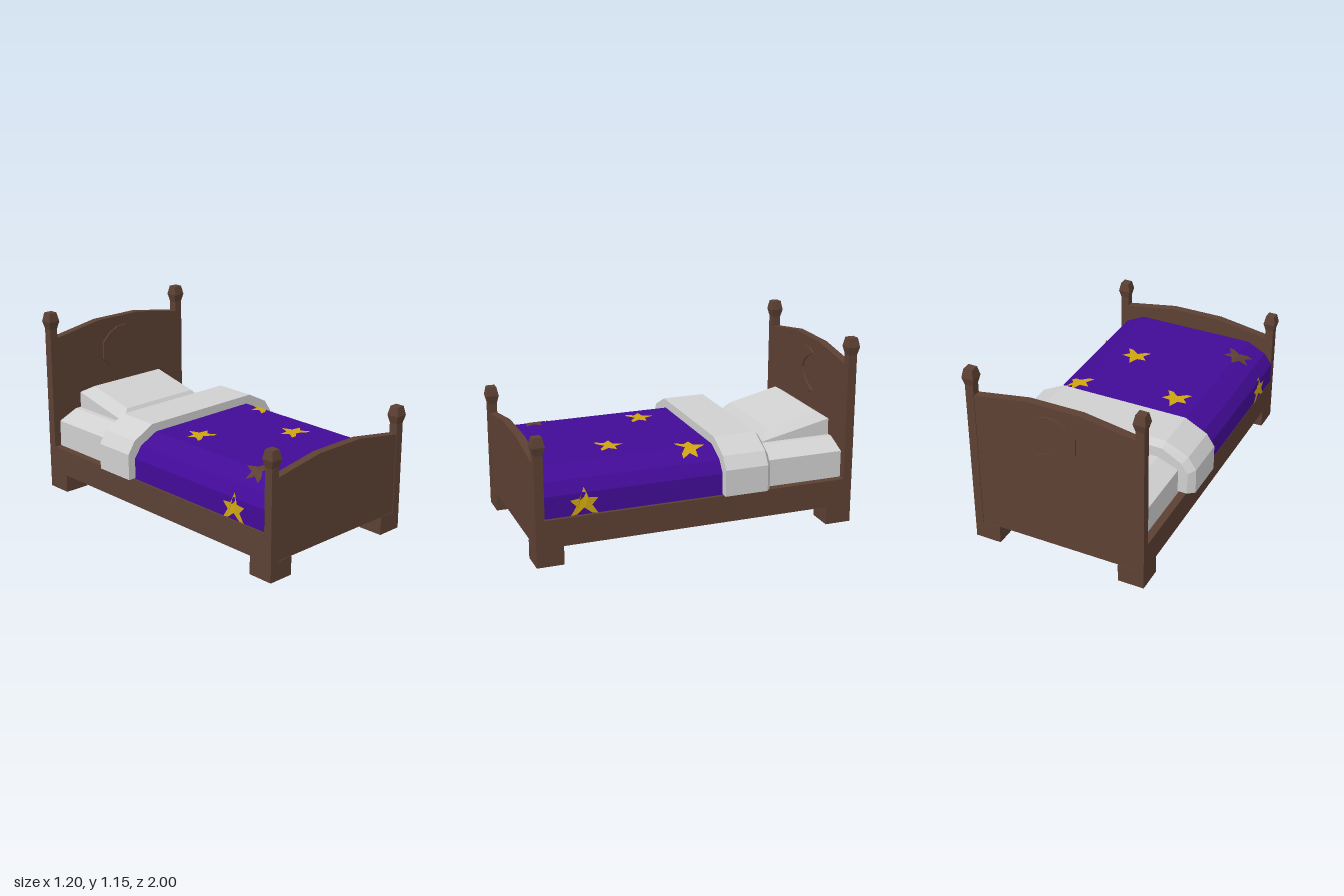
import * as THREE from 'three';

const material = (name, color, extra = {}) => {
  const m = new THREE.MeshStandardMaterial({ color, ...extra });
  m.name = name;
  return m;
};

// Flat-sided solid through rings of equal point count (counter-clockwise seen from the last ring)
function loft(rings) {
  const pos = [];
  const tri = (a, b, c) => pos.push(...a, ...b, ...c);
  const n = rings[0].length;
  for (let r = 0; r < rings.length - 1; r++) {
    for (let i = 0; i < n; i++) {
      const j = (i + 1) % n, a = rings[r], b = rings[r + 1];
      tri(a[i], a[j], b[j]);
      tri(a[i], b[j], b[i]);
    }
  }
  const first = rings[0], last = rings[rings.length - 1];
  for (let i = 1; i < n - 1; i++) {
    tri(first[0], first[i + 1], first[i]);
    tri(last[0], last[i], last[i + 1]);
  }
  const g = new THREE.BufferGeometry();
  g.setAttribute('position', new THREE.Float32BufferAttribute(pos, 3));
  g.computeVertexNormals();
  return g;
}

// Rectangle ring with a height rule along z
const rect = (hx, z0, z1, y0, y1 = y0) =>
  [[hx, y1, z1], [hx, y0, z0], [-hx, y0, z0], [-hx, y1, z1]];

// Arched bedding ring at depth z, mirrored from its right half
const arch = (half, z) => [
  ...half.map(([x, y]) => [x, y, z]),
  ...half.slice().reverse().map(([x, y]) => [-x, y, z]),
];

export function createModel() {
  const group = new THREE.Group();
  const wood = material('brown wood', 0x5c4033);
  const linen = material('white linen', 0xd0d0d0);
  const purple = material('purple blanket', 0x420b96);
  const gold = material('gold star', 0xcfa50f, { side: THREE.DoubleSide });
  const brownStar = material('brown star', 0x5c4033, { side: THREE.DoubleSide });

  const add = (name, geometry, mat) => {
    const mesh = new THREE.Mesh(geometry, mat);
    mesh.name = name;
    group.add(mesh);
    return mesh;
  };
  const box = (name, x0, x1, y0, y1, z0, z1, mat = wood) =>
    add(name, new THREE.BoxGeometry(x1 - x0, y1 - y0, z1 - z0), mat)
      .position.set((x0 + x1) / 2, (y0 + y1) / 2, (z0 + z1) / 2);
  const plate = (name, points, z0, depth) => {
    const shape = new THREE.Shape(points.map(([x, y]) => new THREE.Vector2(x, y)));
    const g = new THREE.ExtrudeGeometry(shape, { depth, bevelEnabled: false });
    add(name, g.translate(0, 0, z0), wood);
  };

  // Head and foot ends: arched board, posts with finials, legs
  for (const [end, s, top] of [['head', -1, 1.045], ['foot', 1, 0.66]]) {
    const sh = top - 0.055;
    plate(end + 'board', [[-0.5, 0.113], [0.5, 0.113], [0.5, sh], [0.165, top],
      [-0.165, top], [-0.5, sh]], s * 0.96 - 0.025, 0.05);
    for (const side of [-1, 1]) {
      const x = side * 0.521, z = s * 0.962;
      box(end + 'Post', x - 0.026, x + 0.026, 0.113, top + 0.02, z - 0.027, z + 0.027);
      const rings = [[0.005, 0.026], [0.055, 0.038], [0.11, 0.027]].map(([dy, h]) =>
        rect(h, -h, h, top + dy));
      add(end + 'Finial', loft(rings), wood).position.set(x, 0, z);
      const lx = side * 0.466, lz = s * 0.908;
      box(end + 'Leg', lx - 0.081, lx + 0.081, 0, 0.113, lz - 0.081, lz + 0.081);
    }
  }

  // Side rails and base
  for (const side of [-1, 1]) {
    const x = side * 0.521;
    box('sideRail', x - 0.026, x + 0.026, 0.113, 0.28, -0.94, 0.94);
  }
  box('bedBase', -0.5, 0.5, 0.113, 0.27, -0.94, 0.94);

  // Crescent moon standing proud of both faces of the headboard
  plate('crescentMoon', [
    [0.11, 0.957], [0.05, 0.985], [-0.02, 0.98], [-0.085, 0.945], [-0.137, 0.893],
    [-0.137, 0.782], [-0.085, 0.728], [-0.02, 0.694], [0.05, 0.69], [0.11, 0.716],
    [0.04, 0.75], [-0.01, 0.79], [-0.027, 0.837], [-0.01, 0.885], [0.04, 0.925],
  ], -0.996, 0.072);

  // Mattress, blanket and folded sheet
  const mattress = [[0.5, 0.27], [0.5, 0.445], [0.37, 0.5]];
  const blanket = [[0.55, 0.29], [0.55, 0.42], [0.5, 0.49], [0.38, 0.55]];
  const sheet = [[0.6, 0.295], [0.6, 0.455], [0.55, 0.53], [0.41, 0.603]];
  const sheetEdge = [[0.56, 0.295], [0.56, 0.435], [0.52, 0.495], [0.395, 0.565]];
  add('mattress', loft([arch(mattress, -0.935), arch(mattress, 0.935)]), linen);
  add('blanket', loft([arch(blanket, -0.2), arch(blanket, 0.935)]), purple);
  add('foldedSheet', loft([arch(sheetEdge, -0.437), arch(sheet, -0.405),
    arch(sheet, -0.138)]), linen);

  // Pillow leaning up towards the headboard
  add('pillow', loft([
    rect(0.335, -0.93, -0.492, 0.48),
    rect(0.335, -0.93, -0.492, 0.602, 0.506),
    rect(0.272, -0.86, -0.54, 0.645, 0.572),
  ]), linen);

  // Stars: two mirrored halves laid onto the blanket
  const half = [[0, 0.088], [0.026, 0.024], [0.083, 0.018], [0.047, -0.022],
    [0.08, -0.074], [0.045, -0.07], [0, -0.034]];
  const star = (name, mat, place) => {
    for (const m of [-1, 1]) {
      const g = new THREE.ShapeGeometry(
        new THREE.Shape(half.map(([x, y]) => new THREE.Vector2(m * x, y))));
      const p = g.attributes.position;
      for (let i = 0; i < p.count; i++) p.setXYZ(i, ...place(p.getX(i), p.getY(i)));
      const flat = g.toNonIndexed();
      flat.computeVertexNormals();
      add(name, flat, mat);
    }
  };
  const height = (x) => 0.554 - Math.max(0, Math.abs(x) - 0.38) * 0.5;
  for (const [cx, cz, mat] of [[-0.24, 0.09, gold], [0.385, 0, gold],
    [0.2, 0.435, gold], [-0.385, 0.725, brownStar]]) {
    star('topStar', mat, (u, v) => [cx + u, height(cx + u), cz - v]);
  }
  // Side stars fold over the blanket shoulder
  for (const side of [-1, 1]) {
    star('sideStar', gold, (u, v) => {
      const y = 0.366 + v;
      return [side * (0.555 - Math.max(0, y - 0.44) * 0.7), y, 0.705 - side * u];
    });
  }
  return group;
}
